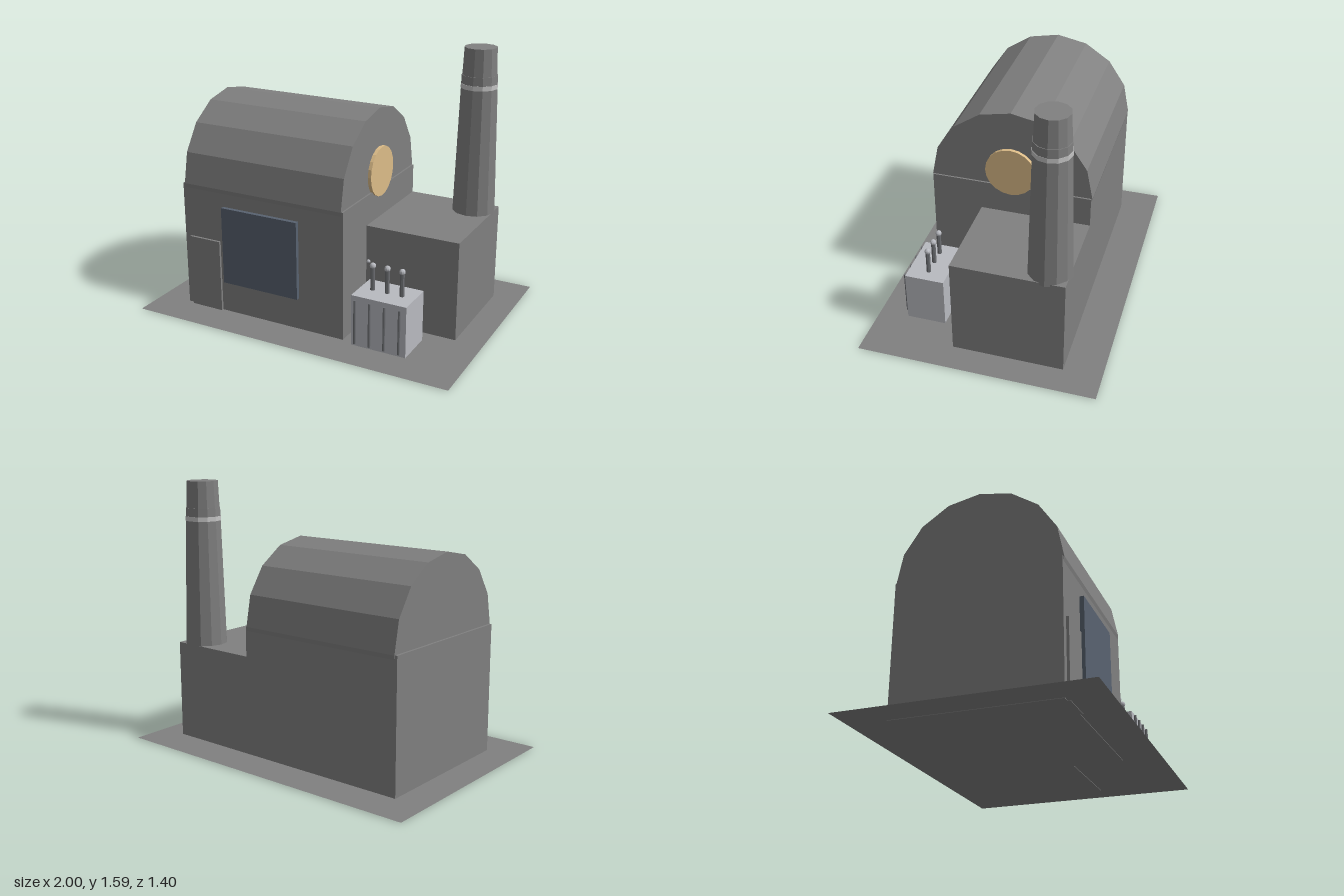
import * as THREE from 'three';

const mat = (name, color, extra = {}) =>
  Object.assign(new THREE.MeshStandardMaterial({ color, flatShading: true, ...extra }), { name });

export function createModel() {
  const concrete = mat('concrete', 0x808080);
  const ground = mat('ground', 0x808080, { side: THREE.DoubleSide });
  const glass = mat('dark glass', 0x586270);
  const brass = mat('tan disc', 0xdcbc88);
  const steel = mat('light steel', 0xb8bac0);
  const fin = mat('dark steel', 0x6c6e72);
  const paint = mat('pale band', 0xc4c4c4);

  const model = new THREE.Group();
  model.name = 'powerStation';

  const add = (name, geometry, material, x, y, z, parent = model) => {
    const mesh = new THREE.Mesh(geometry, material);
    mesh.name = name;
    mesh.position.set(x, y, z);
    parent.add(mesh);
    return mesh;
  };
  // Box given by its lower and upper corners
  const box = (name, material, [x0, y0, z0], [x1, y1, z1], parent) =>
    add(name, new THREE.BoxGeometry(x1 - x0, y1 - y0, z1 - z0), material,
      (x0 + x1) / 2, (y0 + y1) / 2, (z0 + z1) / 2, parent);
  // Upright cylinder between two heights
  const column = (name, material, x, z, y0, y1, r0, r1, sides, parent) =>
    add(name, new THREE.CylinderGeometry(r1, r0, y1 - y0, sides), material, x, (y0 + y1) / 2, z, parent);

  // Ground sheet
  add('groundPlate', new THREE.PlaneGeometry(2, 1.4).rotateX(-Math.PI / 2), ground, 0, 0.003, 0);

  // Main hall with its barrel roof
  box('hall', concrete, [-0.805, 0, -0.475], [0.265, 0.78, 0.475]);
  add('barrelRoof', new THREE.CylinderGeometry(0.48, 0.48, 1.045, 16).rotateZ(Math.PI / 2),
    concrete, -0.268, 0.78, 0);
  box('door', concrete, [-0.765, 0, 0.47], [-0.555, 0.45, 0.49]);
  box('window', glass, [-0.525, 0.2, 0.47], [-0.02, 0.675, 0.5]);
  add('gableDisc', new THREE.CylinderGeometry(0.15, 0.15, 0.03, 20).rotateZ(Math.PI / 2),
    brass, 0.26, 0.88, 0);

  // Side annex
  box('annex', concrete, [0.265, 0, -0.475], [0.835, 0.6, 0.18]);
  add('wallKnob', new THREE.SphereGeometry(0.012, 8, 6), steel, 0.28, 0.38, 0.18);

  // Tapered chimney with a painted band
  const chimney = new THREE.Group();
  chimney.name = 'chimney';
  chimney.position.set(0.715, 0, -0.36);
  model.add(chimney);
  column('chimneyShaft', concrete, 0, 0, 0.585, 1.43, 0.128, 0.105, 12, chimney);
  column('chimneyTop', concrete, 0, 0, 1.42, 1.59, 0.102, 0.095, 12, chimney);
  column('chimneyBand', paint, 0, 0, 1.353, 1.38, 0.1085, 0.108, 12, chimney);

  // Transformer with cooling tubes and bushings
  const transformer = new THREE.Group();
  transformer.name = 'transformer';
  model.add(transformer);
  box('tank', steel, [0.34, 0.015, 0.285], [0.675, 0.322, 0.52], transformer);
  for (let i = 0; i < 4; i++) {
    column('coolingTube', fin, 0.37 + i * 0.09, 0.534, 0.035, 0.302, 0.008, 0.008, 8, transformer);
  }
  for (let i = 0; i < 3; i++) {
    const x = 0.415 + i * 0.09;
    column('bushing', fin, x, 0.402, 0.32, 0.465, 0.014, 0.014, 8, transformer);
    add('bushingCap', new THREE.SphereGeometry(0.018, 10, 8), steel, x, 0.468, 0.402, transformer);
  }
  return model;
}
